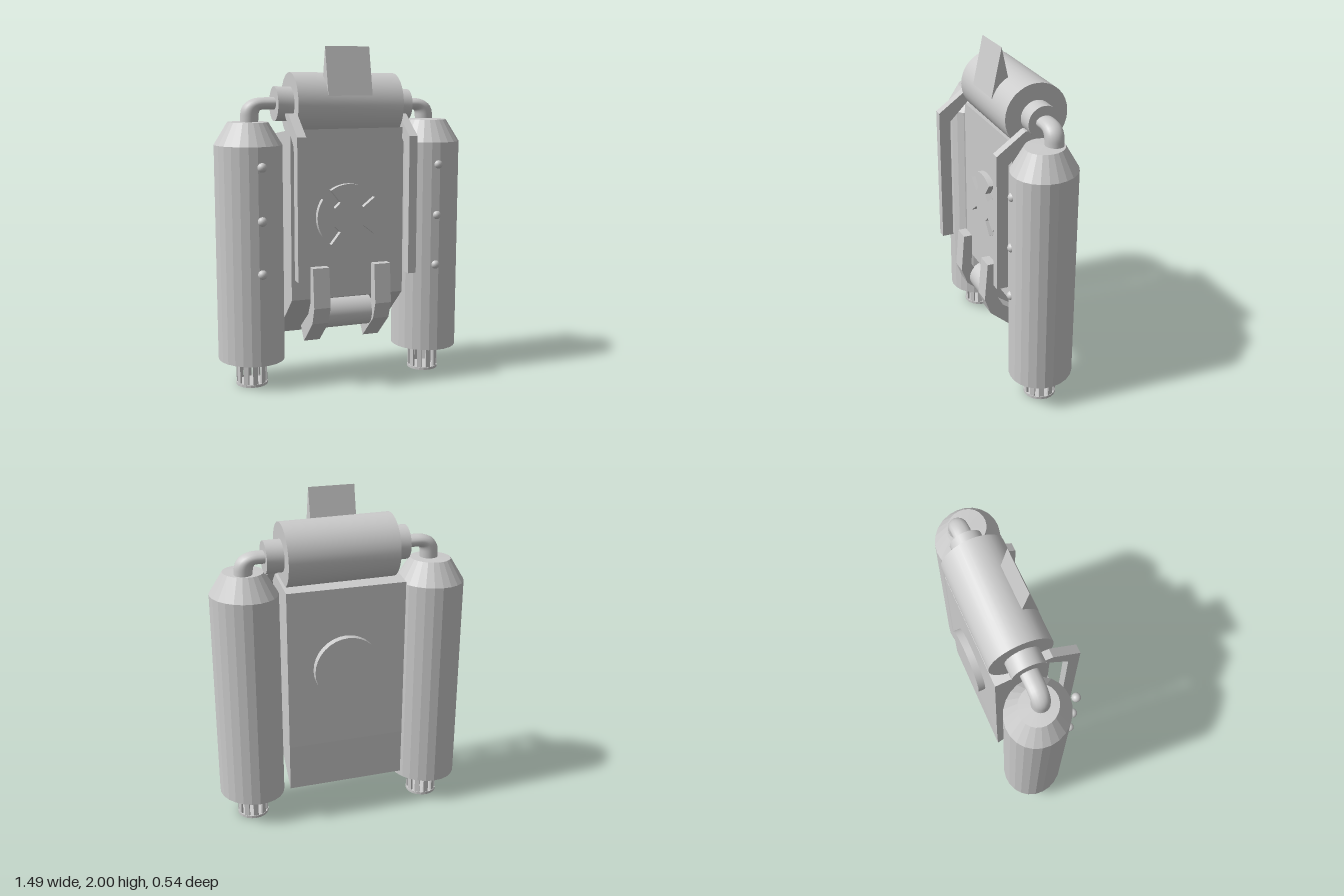
import * as THREE from 'three';
import { toCreasedNormals } from 'three/addons/utils/BufferGeometryUtils.js';

const flat = new THREE.MeshStandardMaterial({ color: 0xcccccc, flatShading: true });
const smooth = new THREE.MeshStandardMaterial({ color: 0xcccccc });

function add(parent, name, geometry, material = flat, x = 0, y = 0, z = 0) {
  const mesh = new THREE.Mesh(geometry, material);
  mesh.name = name;
  mesh.position.set(x, y, z);
  parent.add(mesh);
  return mesh;
}

// Extrudes a side profile of [z, y] points between two x positions
function sidePrism(points, x0, x1) {
  const shape = new THREE.Shape(points.map(([z, y]) => new THREE.Vector2(z, y)));
  const g = new THREE.ExtrudeGeometry(shape, { depth: x1 - x0, bevelEnabled: false });
  return g.rotateY(-Math.PI / 2).translate(x1, 0, 0);
}

// Cylinder lying along x
function barX(r, x0, x1, sides = 32) {
  const g = new THREE.CylinderGeometry(r, r, x1 - x0, sides);
  g.rotateZ(Math.PI / 2).translate((x0 + x1) / 2, 0, 0);
  return toCreasedNormals(g, 0.6);
}

// Disc with four notches cut in from the rim on the diagonals
function notchedDisc(r, inner, half, depth) {
  const shape = new THREE.Shape();
  const rim = Math.asin(half / r);
  for (let i = 0; i < 4; i++) {
    const a = Math.PI / 4 + i * Math.PI / 2;
    const c = Math.cos(a), s = Math.sin(a);
    const at = (u, v) => [u * c - v * s, u * s + v * c];
    const edge = r * Math.cos(rim);
    if (i === 0) shape.moveTo(...at(edge, -half));
    shape.lineTo(...at(inner, -half * 0.7));
    shape.lineTo(...at(inner, half * 0.7));
    shape.lineTo(...at(edge, half));
    shape.absarc(0, 0, r, a + rim, a + Math.PI / 2 - rim, false);
  }
  return new THREE.ExtrudeGeometry(shape, { depth, bevelEnabled: false, curveSegments: 10 });
}

// Fuel tank with conical shoulder, recessed nozzle opening and exhaust cage
function makeTank(name, x, z) {
  const tank = new THREE.Group();
  tank.name = name;
  tank.position.set(x, 0, z);
  const skew = new THREE.Group();
  skew.name = name + 'Shell';
  skew.rotation.y = -Math.PI / 4;
  skew.scale.set(1.05, 1, 0.955);
  tank.add(skew);
  const profile = [[0, 0.3], [0.1, 0.3], [0.1, 0.16], [0.193, 0.16], [0.193, 1.44], [0.115, 1.57], [0, 1.575]];
  add(skew, 'tankShell', new THREE.LatheGeometry(profile.map(p => new THREE.Vector2(...p)), 24));
  const bars = 10;
  for (let i = 0; i < bars; i++) {
    const a = i / bars * Math.PI * 2;
    const bar = add(tank, 'exhaustBar', new THREE.BoxGeometry(0.03, 0.25, 0.012), flat,
      Math.sin(a) * 0.085, 0.135, Math.cos(a) * 0.085);
    bar.rotation.y = a;
  }
  add(tank, 'exhaustPlate', new THREE.CylinderGeometry(0.095, 0.095, 0.016, 20), flat, 0, 0.008, 0);
  return tank;
}

// Flattened elbow pipe from the end cap down into the tank
function elbowPipe(side, x0, x1, y, z) {
  const squash = 0.67;
  const v = (x, yy) => new THREE.Vector3(side * x, yy / squash, z);
  const path = new THREE.CurvePath();
  path.add(new THREE.LineCurve3(v(x0, y), v(x1 - 0.07, y)));
  path.add(new THREE.QuadraticBezierCurve3(v(x1 - 0.07, y), v(x1, y), v(x1 + 0.005, y - 0.06)));
  path.add(new THREE.LineCurve3(v(x1 + 0.005, y - 0.06), v(x1 + 0.01, 1.53)));
  return new THREE.TubeGeometry(path, 24, 0.053, 16).scale(1, squash, 1);
}

export function createModel() {
  const model = new THREE.Group();
  model.name = 'jetPack';

  // Back plate body with a slanted underside
  const body = [[-0.225, 0.25], [0.09, 0.53], [0.09, 1.53], [-0.228, 1.49], [-0.228, 0.53]];
  add(model, 'body', sidePrism(body, -0.345, 0.355));

  // Front buckle and rear disc
  add(model, 'frontBuckle', notchedDisc(0.195, 0.1, 0.035, 0.04), flat, 0, 1.015, 0.085);
  const rear = new THREE.CylinderGeometry(0.195, 0.195, 0.06, 32).rotateX(Math.PI / 2);
  add(model, 'rearDisc', toCreasedNormals(rear, 0.6), smooth, 0.01, 1.01, -0.24);

  // Top cylinder, end caps and fin
  const top = new THREE.Group();
  top.name = 'topTank';
  top.position.set(0, 1.665, -0.06);
  top.rotation.z = -0.012;
  model.add(top);
  add(top, 'topCylinder', barX(0.185, -0.305, 0.34), smooth);
  add(top, 'endCap', barX(0.1, -0.4, -0.3), smooth, 0, 0.003, 0.005);
  add(top, 'endCap', barX(0.093, 0.33, 0.438), smooth, 0, -0.003, 0);
  add(model, 'fin', sidePrism([[0.015, 1.72], [0.12, 1.72], [0.06, 2], [0.02, 1.82]], -0.125, 0.145));

  // Tanks, elbow pipes and floating rivets
  model.add(makeTank('rightTank', -0.553, -0.07), makeTank('leftTank', 0.547, -0.012));
  add(model, 'rightPipe', elbowPipe(-1, 0.38, 0.54, 1.675, -0.057), smooth);
  add(model, 'leftPipe', elbowPipe(1, 0.42, 0.548, 1.66, -0.063), smooth);
  for (let i = 0; i < 3; i++) {
    const ball = new THREE.SphereGeometry(0.027, 16, 12);
    add(model, 'rivet', ball, smooth, -0.533 - i * 0.003, 1.33 - i * 0.305, 0.173);
    add(model, 'rivet', ball, smooth, 0.547 - i * 0.004, 1.31 - i * 0.305, 0.17);
  }

  // Shoulder straps, bent back at the top
  const strap = [[0.2, 0.68], [0.268, 0.68], [0.268, 1.5], [0.1, 1.62], [0.02, 1.62], [0.2, 1.44]];
  add(model, 'rightStrap', sidePrism(strap, -0.358, -0.305));
  add(model, 'leftStrap', sidePrism(strap, 0.347, 0.398), flat, 0, -0.015, -0.07);

  // Waist hooks with the bar between them
  const hook = [[0.135, 0.735], [0.14, 0.53], [0.09, 0.44], [-0.06, 0.33], [0, 0.25],
    [0.17, 0.4], [0.207, 0.5], [0.187, 0.735]];
  for (const x of [-0.195, 0.185]) add(model, 'waistHook', sidePrism(hook, x - 0.05, x + 0.05));
  add(model, 'waistBar', barX(0.093, -0.15, 0.14), smooth, 0, 0.435, 0.06);

  return model;
}
